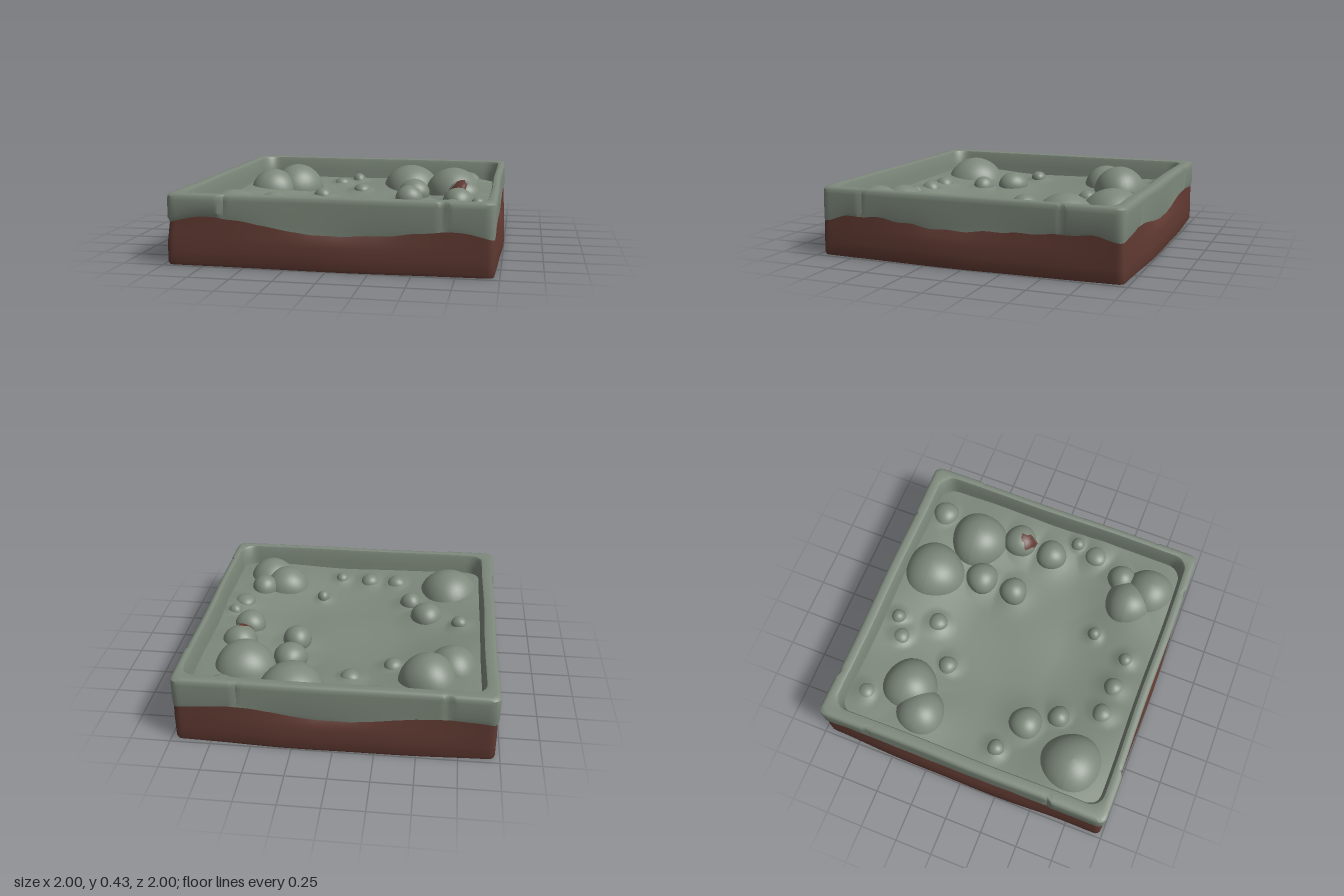
import * as THREE from 'three';
import { toCreasedNormals } from 'three/addons/utils/BufferGeometryUtils.js';

const SIDE = 90; // samples per side of the square

// Height of the earth line, ten steps per side: front, right, back, left
const EARTH_LINE = [
  .265, .305, .292, .262, .228, .213, .22, .23, .255, .265,
  .225, .265, .27, .25, .23, .23, .245, .25, .26, .27,
  .24, .26, .27, .25, .22, .21, .22, .25, .27, .27,
  .25, .27, .26, .25, .24, .24, .24, .25, .25, .25,
];
// Where the corner stones end on each side (first and second end)
const CRACKS = [[-.65, .7], [-.72, .62], [-.6, .7], [-.66, .63]];

// Stones: x, z, radius across, centre height, radius up
const STONES = [
  [-.66, .655, .215, .21, .21],
  [-.70, -.39, .165, .24, .17], [-.55, -.53, .185, .24, .19],
  [.285, -.715, .212, .22, .20], [.62, -.51, .20, .235, .2], [.71, -.80, .092, .285, .08],
  [.35, -.38, .11, .265, .1], [.34, -.14, .095, .26, .095],
  [.71, -.23, .115, .275, .11], [.69, .01, .105, .27, .1],
  [.54, .63, .16, .24, .16], [.67, .74, .17, .24, .17], [.69, .53, .095, .28, .1],
  [-.51, .28, .11, .25, .1], [-.39, .47, .075, .245, .08], [-.74, .16, .055, .28, .05],
  [-.27, .73, .07, .26, .065], [-.07, .74, .068, .26, .065], [.14, .75, .048, .27, .05],
  [.25, .49, .044, .25, .05], [.79, .31, .075, .28, .05], [.83, .16, .048, .285, .05],
  [-.06, -.54, .065, .245, .05], [-.13, -.80, .05, .275, .06], [-.32, -.36, .065, .225, .06],
  [-.70, -.78, .065, .275, .06], [-.25, -.73, .06, .26, .05],
];

const smooth = THREE.MathUtils.smoothstep;

function earthLine(u) {
  const f = u * 10, i = Math.floor(f), k = f - i, n = EARTH_LINE.length;
  return THREE.MathUtils.lerp(EARTH_LINE[i % n], EARTH_LINE[(i + 1) % n], smooth(k, 0, 1))
    + .003 * Math.sin(u * Math.PI * 17);
}

// Point on a rounded square of half size h; the sides run front, right, back, left
function squarePoint(u, h, radius, y) {
  const side = Math.floor(u) % 4, t = (u % 1) * 2 - 1;
  let x = t * h, z = h;
  const core = Math.max(h - radius, 0), dx = Math.abs(x) - core;
  if (dx > 0 && radius > 0) {
    const s = radius / Math.hypot(dx, radius);
    x = Math.sign(x) * (core + dx * s);
    z = core + radius * s;
  }
  for (let i = 0; i < side; i++) [x, z] = [z, -x];
  return [x, y, z];
}

// Skin closed rings: point(u, row) returns a corner
function loft(rows, columns, point) {
  const positions = [], index = [];
  for (let j = 0; j < rows; j++)
    for (let i = 0; i < columns; i++) positions.push(...point(i / columns * 4, j));
  for (let j = 0; j < rows - 1; j++)
    for (let i = 0; i < columns; i++) {
      const a = j * columns + i, b = j * columns + (i + 1) % columns;
      index.push(a, b, b + columns, a, b + columns, a + columns);
    }
  const g = new THREE.BufferGeometry();
  g.setAttribute('position', new THREE.Float32BufferAttribute(positions, 3));
  g.setIndex(index);
  g.computeVertexNormals();
  return g;
}

// Corner stones stand slightly proud, with a narrow groove where they end;
// the front right-hand one is the largest
function cornerRelief(u) {
  const side = Math.floor(u) % 4, t = (u % 1) * 2 - 1, [a, b] = CRACKS[side];
  if (Math.min(Math.abs(t - a), Math.abs(t - b)) < .013) return -.006;
  if (t > a && t < b) return 0;
  return u < .5 || u > 3.5 ? .012 : .005;
}

// Ground dips in the middle and swells around every stone
function groundHeight(x, z) {
  const edge = Math.max(Math.abs(x), Math.abs(z)) * .5 + Math.hypot(x, z) * .5;
  let y = .215 + .075 * smooth(edge, .3, 1);
  y += .006 * Math.sin(x * 7 + z * 3) * Math.cos(z * 6 - x * 2);
  let swell = 0;
  for (const [sx, sz, r] of STONES) {
    const d = Math.hypot(x - sx, z - sz) / (r * 1.3);
    swell = Math.max(swell, Math.exp(-d * d));
  }
  return y + .03 * swell;
}

export function createModel() {
  const model = new THREE.Group();
  const stoneGreen = new THREE.MeshStandardMaterial({ color: 0x7d887b });
  stoneGreen.name = 'mossy stone';
  const earthRed = new THREE.MeshStandardMaterial({ color: 0x5f3931 });
  earthRed.name = 'red earth';
  const add = (name, geometry, material, parent = model) => {
    const mesh = new THREE.Mesh(geometry, material);
    mesh.name = name;
    parent.add(mesh);
    return mesh;
  };

  // Earth base: bulges in the middle of each side and at one corner
  const earthRows = [[0, .006, 0], [.966, .006, .95], [.971, .022, 1], [.971, .09, .95], [.971, .15, .85], [.97, .19, .55], [.969, 0, 0]];
  const earth = loft(earthRows.length, SIDE * 4, (u, j) => {
    const [h, y, bulge] = earthRows[j], t = (u % 1) * 2 - 1;
    const corner = .011 * (1 - smooth(Math.min(u, 4 - u), 0, .2));
    const out = bulge * (.027 * (1 - t * t) ** 1.5 + .003 * Math.sin(u * Math.PI * 4.5) * (1 - t * t) + corner);
    return squarePoint(u, h + out, Math.min(h, .035), j === 6 ? earthLine(u) : y);
  });
  add('earthBase', toCreasedNormals(earth, .6), earthRed);

  // Stone rim: outer wall, rounded top, inner wall; the opening sits a little off centre
  const rimRows = [
    [.969, 0, .035], [.97, .03, .045], [.97, .40, .05], [.968, .425, .05], [.958, .437, .05],
    [.945, .44, .055], [.922, .44, .08], [.910, .436, .09], [.904, .42, .1], [.898, .34, .1], [.885, .2, .1],
  ];
  const rim = loft(rimRows.length, SIDE * 4, (u, j) => {
    const [h, y, r] = rimRows[j];
    const relief = j > 0 && j < 6 ? cornerRelief(u) : 0;
    const wave = j > 0 ? .003 * Math.sin(u * Math.PI * 3.5) : 0;
    const [px, py, pz] = squarePoint(u, h + relief + wave, r, j < 2 ? earthLine(u) + y : y);
    return j < 6 ? [px, py, pz] : [px + .015, py, pz + .008];
  });
  add('stoneRim', toCreasedNormals(rim, .7), stoneGreen);

  // Uneven ground inside the rim
  const ground = new THREE.PlaneGeometry(1.84, 1.84, 110, 110).rotateX(-Math.PI / 2);
  const p = ground.attributes.position;
  for (let i = 0; i < p.count; i++) p.setY(i, groundHeight(p.getX(i), p.getZ(i)));
  ground.computeVertexNormals();
  add('ground', ground, stoneGreen);

  // Rounded stones, slightly irregular, sunk into the ground
  const stones = new THREE.Group();
  stones.name = 'stones';
  model.add(stones);
  STONES.forEach(([x, z, r, y, up], n) => {
    const g = new THREE.SphereGeometry(1, 32, 14, 0, Math.PI * 2, 0, Math.PI * .62);
    const q = g.attributes.position;
    for (let i = 0; i < q.count; i++) {
      const a = Math.atan2(q.getZ(i), q.getX(i));
      const k = 1 + .035 * Math.sin(3 * a + n) * (1 - q.getY(i) ** 2);
      q.setXYZ(i, q.getX(i) * r * k, q.getY(i) * up, q.getZ(i) * r * k);
    }
    g.computeVertexNormals();
    add('stone', g, stoneGreen, stones).position.set(x, y, z);
  });

  // Bare earth patch lying on one stone
  const [sx, sz, r, sy, up] = STONES[8];
  const reach = [.05, .035, .06, .05, .045, .03, .06, .045, .04, .05, .07, .05];
  const patch = loft(7, reach.length, (u, j) => {
    const i = Math.round(u / 4 * reach.length), a = -i / reach.length * Math.PI * 2;
    const d = reach[i] * (1 - j / 6);
    const x = -.02 + Math.cos(a) * d, z = .06 + Math.sin(a) * d;
    const k = Math.min((x * x + z * z) / (r * r), .95);
    return [sx + x * 1.04, sy + up * Math.sqrt(1 - k) + .006, sz + z * 1.04];
  });
  add('earthPatch', patch, earthRed);

  return model;
}
